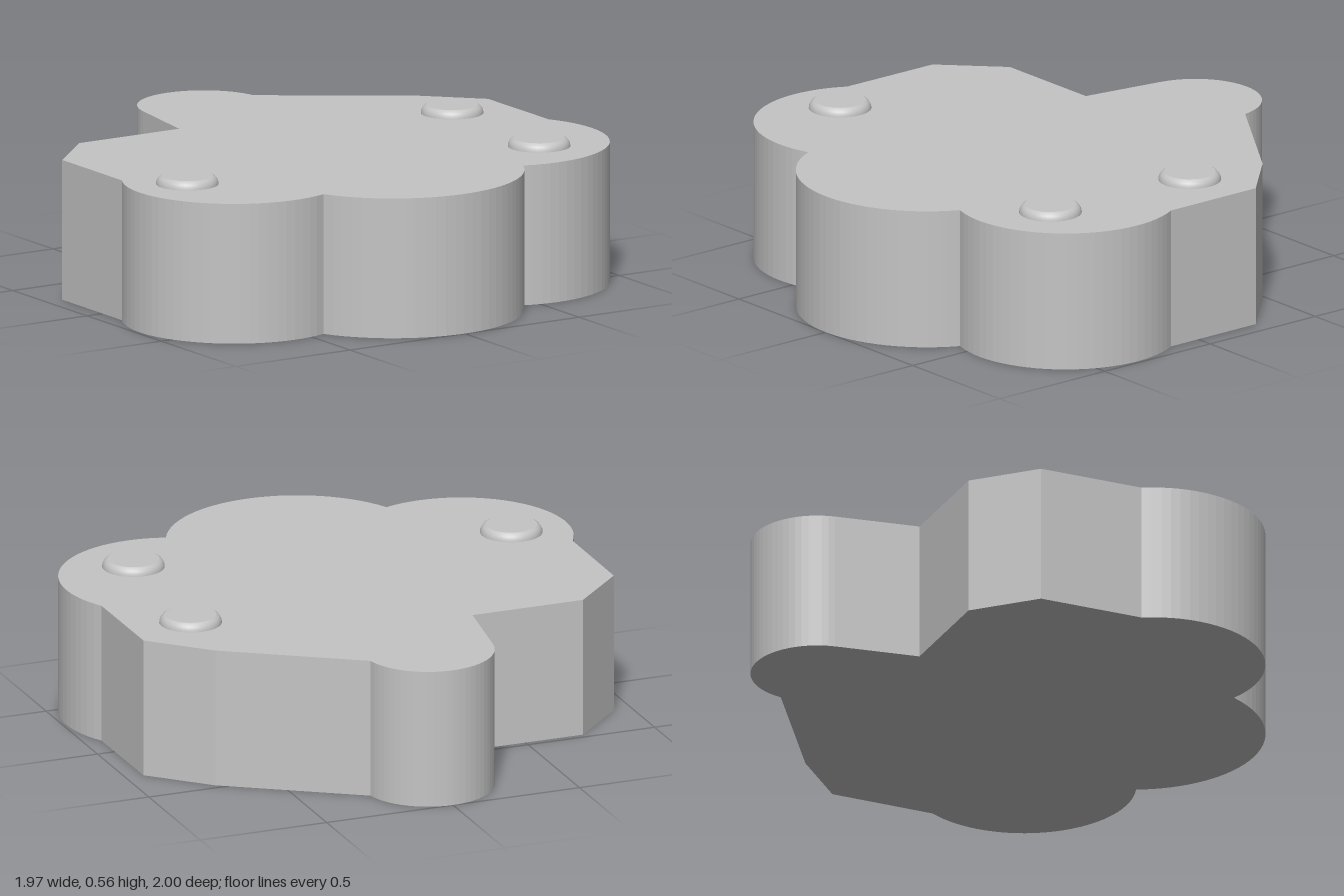
import * as THREE from 'three';

const grey = new THREE.MeshStandardMaterial({ name: 'plain grey', color: 0xc4c4c4 });
const HEIGHT = 0.525;
const rad = THREE.MathUtils.degToRad;

// Slab outline, counter-clockwise; shape y points to the back (-z)
function outline() {
  const s = new THREE.Shape();
  const arc = (x, y, r, from, to) => s.absarc(x, y, r, rad(from), rad(to), false);
  s.moveTo(0.29, 0.475);
  arc(0, 0.755, 0.245, 8.8, 171.2); // rounded rear tab
  s.lineTo(-0.29, 0.475);
  s.lineTo(-0.727, 0.475);
  s.lineTo(-0.93, 0.275);
  arc(-0.575, -0.335, 0.412, 150, 289.7); // right lobe
  arc(0, -0.518, 0.482, 205.4, 334.6); // front lobe
  arc(0.575, -0.335, 0.412, 250.3, 390); // left lobe
  s.lineTo(0.93, 0.275);
  s.lineTo(0.727, 0.475);
  s.closePath();
  return s;
}

// Low button with a rounded rim
function stud(x, z) {
  const profile = [[0.115, 0], [0.114, 0.009], [0.11, 0.018], [0.104, 0.026], [0.095, 0.031]]
    .map(([r, y]) => new THREE.Vector2(r, y));
  const rim = new THREE.Mesh(new THREE.LatheGeometry(profile, 40), grey);
  rim.name = 'studRim';
  const cap = new THREE.Mesh(new THREE.CircleGeometry(0.095, 40).rotateX(-Math.PI / 2), grey);
  cap.name = 'studCap';
  cap.position.y = 0.031;
  const g = new THREE.Group();
  g.name = 'stud';
  g.add(rim, cap);
  g.position.set(x, HEIGHT, z);
  return g;
}

export function createModel() {
  const model = new THREE.Group();
  model.name = 'lobedSlab';

  const geometry = new THREE.ExtrudeGeometry(outline(), {
    depth: HEIGHT, bevelEnabled: false, curveSegments: 14,
  });
  geometry.rotateX(-Math.PI / 2);
  const body = new THREE.Mesh(geometry, grey);
  body.name = 'body';
  model.add(body);

  for (const [x, z] of [[0.695, -0.155], [0.663, 0.48], [-0.76, 0.305]]) model.add(stud(x, z));
  return model;
}
